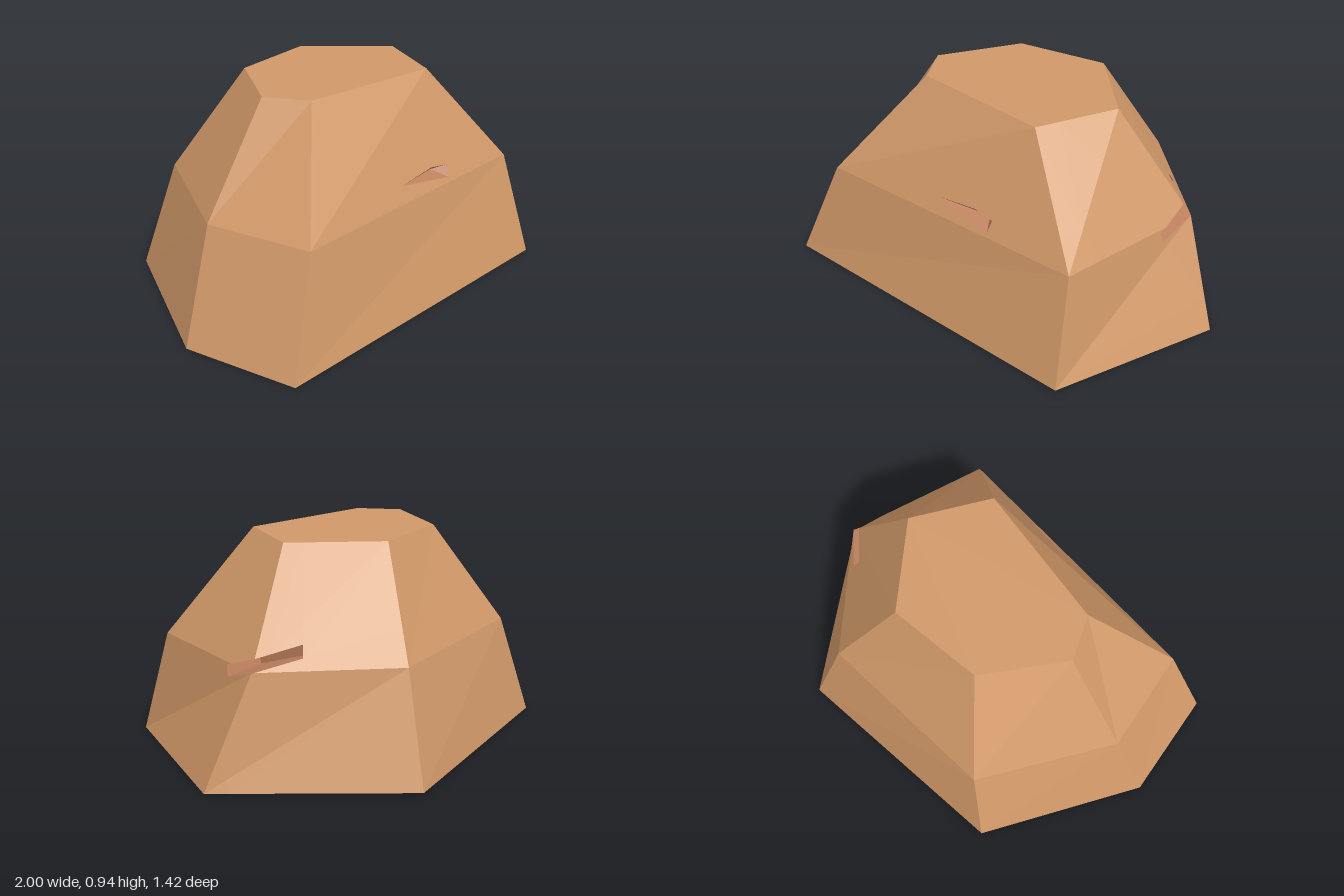
import * as THREE from 'three';

// Hexagonal rings of the rock, bottom to top: height and [x, z] corners
const RINGS = [
  { y: 0, pts: [[1, 0], [0.47, -0.71], [-0.62, -0.62], [-1, 0.09], [-0.91, 0.61], [0.66, 0.71]] },
  { y: 0.48, pts: [[0.805, -0.1], [0.38, -0.57], [-0.48, -0.53], [-0.81, 0.045], [-0.715, 0.52], [0.62, 0.57]] },
  { y: 0.94, pts: [[0.475, 0], [0.19, -0.335], [-0.24, -0.29], [-0.475, 0.045], [-0.38, 0.235], [0.285, 0.335]] },
];

// Chips cut into the rock: outline seen along one axis, and where its floor lies
const apex = new THREE.Vector3(0.15, 0.53, 0.47);
const CHIPS = [
  { name: 'sideSlot', axis: 'x', u: 'z', sink: (p) => new THREE.Vector3(0.56, p.y, p.z),
    outline: [[0.08, 0.467], [0.064, 0.42], [-0.235, 0.525], [-0.215, 0.573]] },
  { name: 'frontChip', axis: 'z', u: 'x', sink: () => apex,
    outline: [[-0.115, 0.548], [0.1, 0.565], [0.2, 0.55], [0.19, 0.5]] },
];

// Side planes of a chip as distance functions, positive outside the outline
function sidePlanes({ outline, u }) {
  const cu = outline.reduce((s, p) => s + p[0], 0) / outline.length;
  const cv = outline.reduce((s, p) => s + p[1], 0) / outline.length;
  return outline.map((a, i) => {
    const b = outline[(i + 1) % outline.length];
    const len = Math.hypot(b[0] - a[0], b[1] - a[1]);
    const dist = (pu, pv) => ((pu - a[0]) * (b[1] - a[1]) - (pv - a[1]) * (b[0] - a[0])) / len;
    const sign = dist(cu, cv) > 0 ? -1 : 1;
    return (p) => sign * dist(p[u], p.y);
  });
}

// Part of a convex polygon where sign * dist is negative
function clip(poly, dist, sign) {
  const out = [];
  poly.forEach((p, i) => {
    const q = poly[(i + 1) % poly.length];
    const dp = sign * dist(p), dq = sign * dist(q);
    if (dp <= 0) out.push(p);
    if ((dp < 0 && dq > 0) || (dp > 0 && dq < 0)) out.push(p.clone().lerp(q, dp / (dp - dq)));
  });
  return out;
}

// Flat-shaded mesh from convex polygons
function polyMesh(name, polys, color) {
  const points = [];
  for (const poly of polys) {
    for (let i = 1; i < poly.length - 1; i++) points.push(poly[0], poly[i], poly[i + 1]);
  }
  const geometry = new THREE.BufferGeometry().setFromPoints(points);
  geometry.computeVertexNormals();
  const mesh = new THREE.Mesh(geometry, new THREE.MeshStandardMaterial({ color, flatShading: true }));
  mesh.name = name;
  return mesh;
}

export function createModel() {
  const group = new THREE.Group();
  group.name = 'rock';
  const rings = RINGS.map(({ y, pts }) => pts.map(([x, z]) => new THREE.Vector3(x, y, z)));

  // Base, top and the two bands of sides
  let faces = [[...rings[0]].reverse(), rings[2]];
  for (let r = 0; r < 2; r++) {
    for (let i = 0; i < 6; i++) {
      const j = (i + 1) % 6;
      const [a, b, c, d] = [rings[r][i], rings[r][j], rings[r + 1][j], rings[r + 1][i]];
      faces.push([a, b, c], [a, c, d]);
    }
  }

  // Cut each chip out of the faces and line the hole with walls and a floor
  for (const chip of CHIPS) {
    const planes = sidePlanes(chip);
    const kept = [], lining = [];
    for (const face of faces) {
      const centre = face.reduce((s, p) => s + p[chip.axis], 0) / face.length;
      if (centre < 0.2 || face.length > 5) {
        kept.push(face);
        continue;
      }
      let inside = face;
      for (const dist of planes) {
        const outside = clip(inside, dist, -1);
        if (outside.length > 2) kept.push(outside);
        inside = clip(inside, dist, 1);
        if (inside.length < 3) break;
      }
      if (inside.length < 3) continue;
      inside.forEach((p, i) => {
        const q = inside[(i + 1) % inside.length];
        const onRim = planes.some((dist) => Math.abs(dist(p)) < 1e-5 && Math.abs(dist(q)) < 1e-5);
        if (onRim) lining.push([p, q, chip.sink(q), chip.sink(p)]);
      });
      if (chip.name === 'sideSlot') lining.push(inside.map(chip.sink));
    }
    faces = kept;
    group.add(polyMesh(chip.name, lining, 0xc0815f));
  }

  group.add(polyMesh('rockBody', faces, 0xd09868));
  return group;
}
